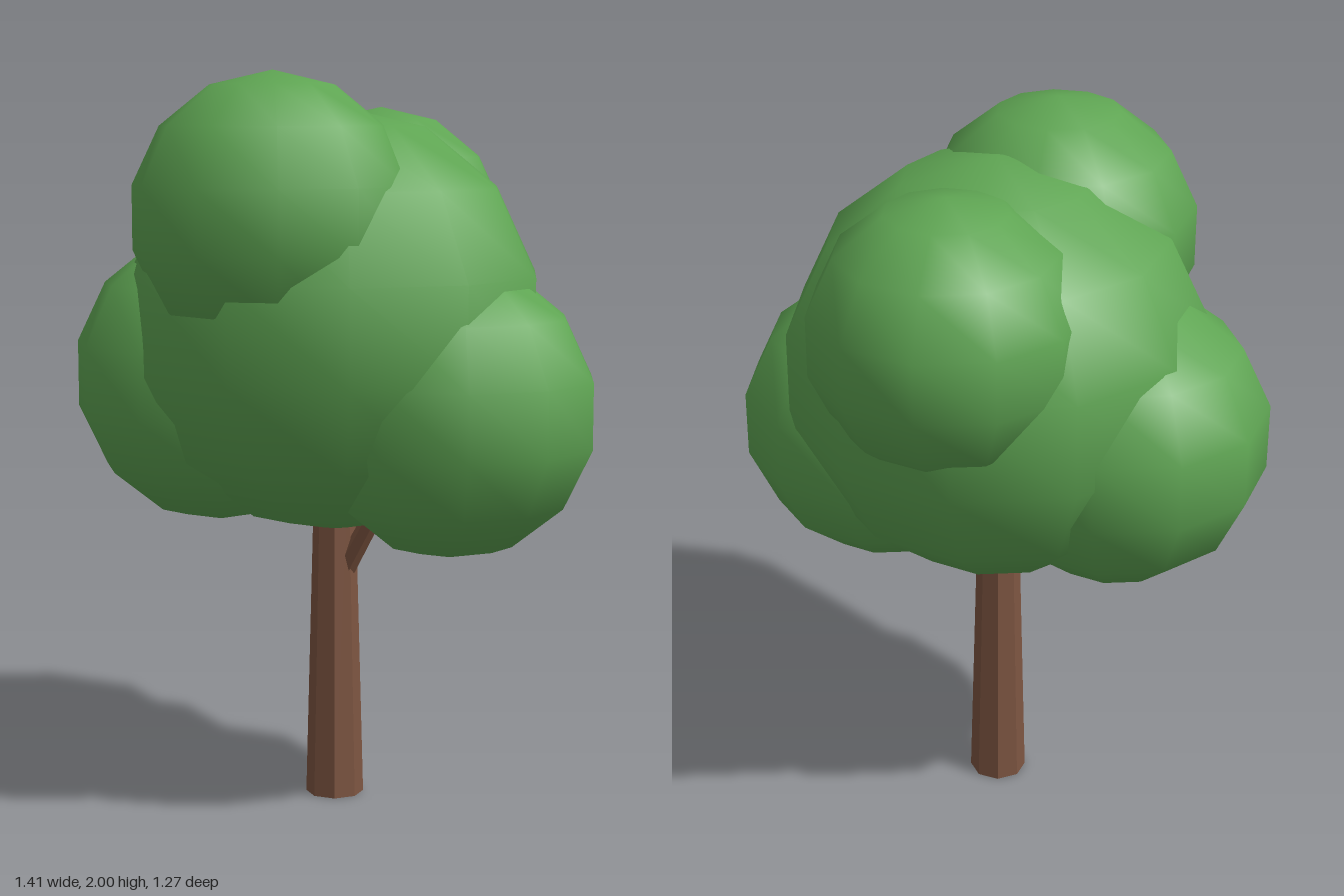
import * as THREE from 'three';

const leafGreen = new THREE.MeshStandardMaterial({ color: 0x5fa553 });
leafGreen.name = 'leafGreen';
const barkBrown = new THREE.MeshStandardMaterial({ color: 0x7d5541, flatShading: true });
barkBrown.name = 'barkBrown';

// Smooth foliage ball with few sides, one vertex column facing the back
function foliage(name, radius, x, y, z) {
  const geometry = new THREE.SphereGeometry(radius, 11, 7).rotateY(-Math.PI / 2);
  const mesh = new THREE.Mesh(geometry, leafGreen);
  mesh.name = name;
  mesh.position.set(x, y, z);
  return mesh;
}

// Tapered faceted limb from one point to another
function limb(name, from, to, r0, r1, sides) {
  const a = new THREE.Vector3(...from);
  const b = new THREE.Vector3(...to);
  const direction = b.clone().sub(a);
  const mesh = new THREE.Mesh(new THREE.CylinderGeometry(r1, r0, direction.length(), sides), barkBrown);
  mesh.name = name;
  mesh.position.copy(a).add(b).multiplyScalar(0.5);
  mesh.quaternion.setFromUnitVectors(new THREE.Vector3(0, 1, 0), direction.normalize());
  return mesh;
}

export function createModel() {
  const tree = new THREE.Group();
  tree.name = 'tree';

  // Trunk and side branch
  tree.add(
    limb('trunk', [-0.01, 0, 0.017], [-0.01, 0.95, 0.017], 0.08, 0.055, 8),
    limb('branch', [0.015, 0.63, 0.01], [0.2, 0.95, -0.03], 0.03, 0.022, 6),
  );

  // Crown
  tree.add(
    foliage('mainCrown', 0.58, -0.007, 1.33, 0.016),
    foliage('frontTopCrown', 0.383, 0.025, 1.617, 0.276),
    foliage('backTopCrown', 0.368, -0.12, 1.54, -0.276),
    foliage('rightCrown', 0.41, -0.31, 1.17, 0.171),
    foliage('leftCrown', 0.402, 0.317, 1.103, -0.097),
  );
  return tree;
}
